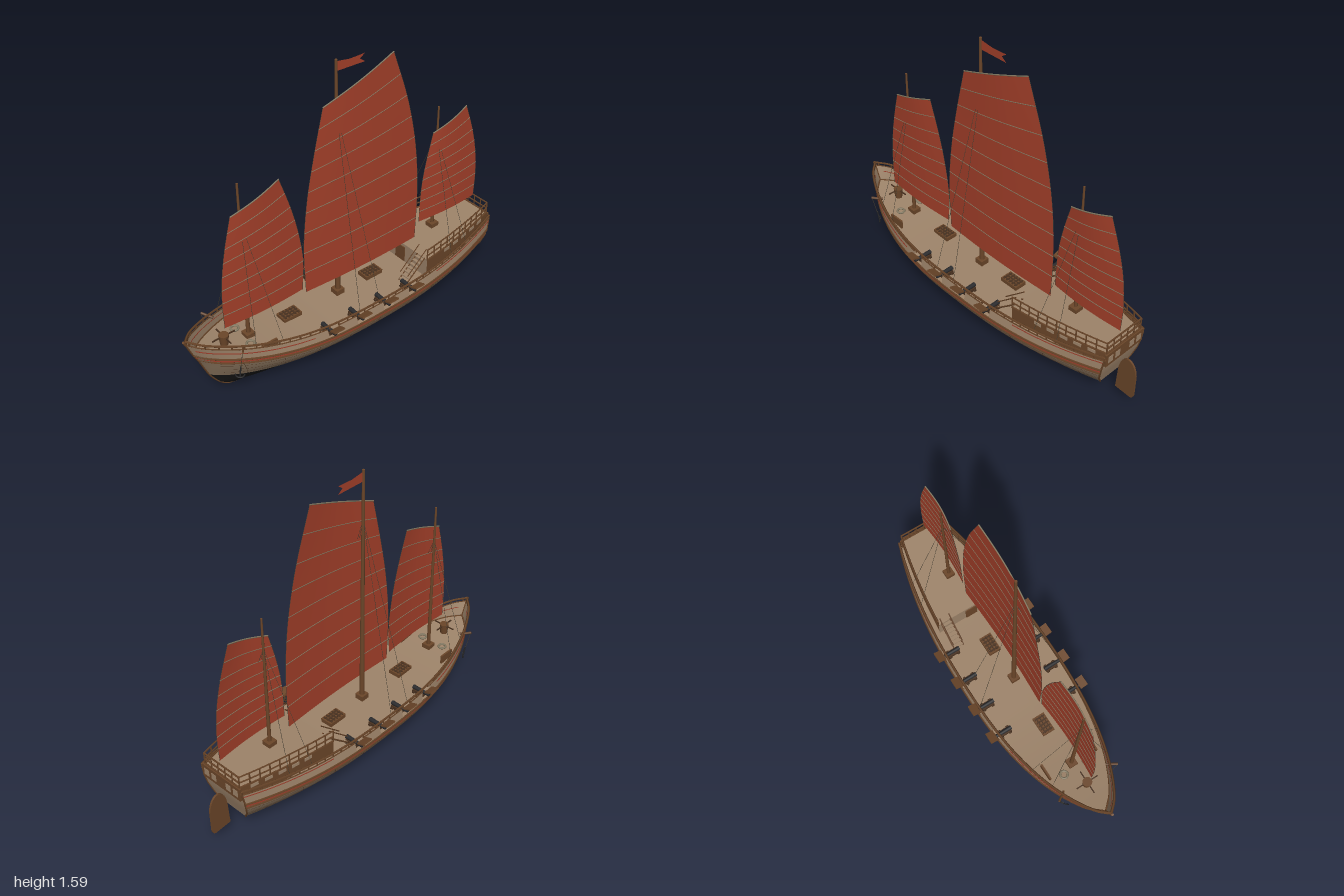
import * as THREE from 'three';

const flat = (name, color) => {
  const m = new THREE.MeshStandardMaterial({ color, side: THREE.DoubleSide });
  m.name = name;
  return m;
};
const V = (x, y, z) => new THREE.Vector3(x, y, z);
const lerp = THREE.MathUtils.lerp;

// hull levels, keel to bulwark top: height, sheer share, stern z, bow z, half width, stern width ratio
const LEVELS = [
  [0.012, 0, -0.62, 0.62, 0.004, 1],
  [0.025, 0.05, -0.72, 0.76, 0.045, 0.3],
  [0.06, 0.15, -0.80, 0.82, 0.118, 0.35],
  [0.118, 0.47, -0.86, 0.875, 0.197, 0.45],
  [0.165, 0.56, -0.875, 0.898, 0.240, 0.5],
  [0.21, 0.65, -0.89, 0.92, 0.262, 0.52],
  [0.25, 0.8, -0.90, 0.95, 0.268, 0.53],
  [0.30, 1, -0.91, 0.98, 0.258, 0.54],
];
// point on the hull skin: u from stern (-1) to bow (1), l = level
function hull(u, l, side = 1, off = 0) {
  const i = Math.min(Math.floor(l), 6);
  const [y, c, stern, bow, w, ratio] = LEVELS[i].map((a, k) => lerp(a, LEVELS[i + 1][k], l - i));
  const z = u > 0 ? u * bow : -u * stern;
  const plan = u > 0 ? Math.pow(Math.max(0, 1 - u ** 2.5), 0.75) : 1 - (1 - ratio) * (-u) ** 2.3;
  const rise = z > 0.2 ? 0.115 * ((z - 0.2) / 0.8) ** 2 : z < -0.2 ? 0.05 * ((-z - 0.2) / 0.7) ** 2 : 0;
  return V(side * (plan * w + off), y + c * rise, z);
}
const uAt = z => (z > 0 ? z / 0.98 : z / 0.91);

// grid surface from a point rule
function surface(f, nu, nv) {
  const pos = [], idx = [];
  for (let i = 0; i <= nu; i++) for (let j = 0; j <= nv; j++) pos.push(...f(i / nu, j / nv).toArray());
  for (let i = 0; i < nu; i++) for (let j = 0; j < nv; j++) {
    const a = i * (nv + 1) + j, b = a + nv + 1;
    idx.push(a, b, a + 1, b, b + 1, a + 1);
  }
  const g = new THREE.BufferGeometry();
  g.setAttribute('position', new THREE.Float32BufferAttribute(pos, 3));
  g.setIndex(idx);
  g.computeVertexNormals();
  return g;
}

export function createModel() {
  const root = new THREE.Group();
  root.name = 'sailingShip';
  const tan = flat('deckWood', 0x9e846a), plank = flat('hullPlanks', 0x8a745d), tar = flat('blackTar', 0x191919);
  const dark = flat('darkWood', 0x4a3220), brown = flat('brownWood', 0x6b4629), red = flat('redPaint', 0x983a28);
  const cloth = flat('sailCloth', 0xa5402a), rope = flat('rope', 0x4a4335), iron = flat('iron', 0x2a2a2c), spar = flat('batten', 0x877c64);

  const add = (name, geo, mat, p = [0, 0, 0], r = [0, 0, 0]) => {
    const m = new THREE.Mesh(geo, mat);
    m.name = name;
    m.position.set(...p);
    m.rotation.set(...r);
    root.add(m);
    return m;
  };
  const box = (name, w, h, d, mat, p, r) => add(name, new THREE.BoxGeometry(w, h, d), mat, p, r);
  const beam = (name, a, b, r, mat, sides = 6, r2 = r) => {
    const m = add(name, new THREE.CylinderGeometry(r2, r, a.distanceTo(b), sides), mat);
    m.position.lerpVectors(a, b, 0.5);
    m.quaternion.setFromUnitVectors(V(0, 1, 0), b.clone().sub(a).normalize());
  };
  const tube = (name, pts, r, mat, n = 40, sides = 4) =>
    add(name, new THREE.TubeGeometry(new THREE.CatmullRomCurve3(pts), n, r, sides), mat);
  const path = (n, f) => Array.from({ length: n + 1 }, (_, i) => f(i / n));
  const sides = [-1, 1];
  const ports = [-0.23, -0.052, 0.125, 0.302];

  // hull skin, strakes and seams
  const ease = a => Math.sin((a - 0.5) * Math.PI);
  for (const s of sides) {
    add('lowerHull', surface((a, b) => hull(ease(a), 3 * b, s), 60, 9), tar);
    add('planking', surface((a, b) => hull(ease(a), 3 + 3 * b, s), 60, 6), plank);
    const edges = [-0.91, ...ports.flatMap(z => [z - 0.032, z + 0.032]), 0.98];
    for (let k = 0; k < edges.length; k += 2) {
      const u0 = uAt(edges[k]), u1 = uAt(edges[k + 1]);
      add('bulwark', surface((a, b) => hull(lerp(u0, u1, a), 6 + b, s), 24, 1), tan);
      tube('bulwarkCap', path(16, a => hull(lerp(u0, u1, a), 7, s)), 0.004, brown, 24);
    }
    const strake = (name, l, r, mat, off = 0.002, u0 = -1, u1 = 1) =>
      tube(name, path(32, a => hull(lerp(u0, u1, a), l, s, off)), r, mat, 64);
    strake('lowerStrake', 5.25, 0.006, brown);
    strake('upperStrake', 5.85, 0.007, brown);
    strake('redStripe', 5.55, 0.004, red);
    strake('sternRedStripe', 6.75, 0.003, red, 0.001, -1, -0.45);
    strake('bowRedStripe', 6.55, 0.003, red, 0.001, 0.42, 0.98);
    for (const l of [3.5, 4.1, 4.7]) strake('plankSeam', l, 0.001, dark, 0);
    for (let z = -0.8; z < 0.85; z += 0.2)
      tube('plankJoint', path(8, a => hull(uAt(z), 3 + 3 * a, s)), 0.001, dark, 8);
    // raised rail on short posts
    const up = p => p.add(V(0, 0.02, 0));
    tube('topRail', path(40, a => up(hull(lerp(-1, 1, a), 7, s))), 0.007, brown, 80);
    for (let i = 0; i <= 36; i++) {
      const p = hull(lerp(-1, 0.99, i / 36), 7, s);
      beam('railPost', p.clone(), up(p.clone()), 0.005, brown, 4);
    }
    // gun ports: raised lids, barrels, carriages
    for (const z of ports) {
      box('portLid', 0.045, 0.008, 0.062, brown, [s * 0.285, 0.311, z], [0, 0, s * 0.35]);
      beam('cannonBarrel', V(s * 0.165, 0.272, z), V(s * 0.272, 0.272, z), 0.012, iron, 10, 0.009);
      box('cannonCarriage', 0.07, 0.018, 0.034, dark, [s * 0.205, 0.256, z]);
      for (const x of [0.18, 0.23]) for (const d of [-0.02, 0.02])
        add('carriageWheel', new THREE.CylinderGeometry(0.008, 0.008, 0.006, 10), dark, [s * x, 0.252, z + d], [Math.PI / 2, 0, 0]);
    }
    // stairs to the raised stern deck
    for (let i = 0; i < 7; i++) box('stairStep', 0.055, 0.006, 0.016, tan, [s * 0.16, 0.26 + i * 0.016, -0.25 - i * 0.018]);
    for (const d of [-0.028, 0.028]) {
      beam('stairSide', V(s * 0.16 + d, 0.25, -0.24), V(s * 0.16 + d, 0.365, -0.37), 0.004, brown, 4);
      beam('stairRail', V(s * 0.16 + d, 0.3, -0.25), V(s * 0.16 + d, 0.42, -0.38), 0.003, brown, 4);
    }
    // bow fittings: cathead, anchor, bitts, rope coil
    beam('cathead', V(s * 0.13, 0.36, 0.75), V(s * 0.182, 0.375, 0.785), 0.007, brown, 4);
    beam('anchorRope', V(s * 0.178, 0.372, 0.785), V(s * 0.15, 0.25, 0.785), 0.0015, rope);
    beam('anchorShank', V(s * 0.15, 0.26, 0.785), V(s * 0.138, 0.185, 0.785), 0.004, iron);
    add('anchorFlukes', new THREE.TorusGeometry(0.022, 0.004, 6, 12, Math.PI), iron, [s * 0.139, 0.205, 0.785], [0, 0.9 * s, Math.PI]);
    box('bitt', 0.01, 0.05, 0.09, brown, [s * 0.145, 0.29, 0.61]);
    add('ropeCoil', new THREE.TorusGeometry(0.02, 0.006, 6, 16), spar, [s * 0.07, 0.288, 0.67], [Math.PI / 2, 0, 0]);
  }
  add('mainDeck', surface((a, b) => hull(ease(a), 5.9).multiply(V(2 * b - 1, 1, 1)), 60, 2), tan);
  add('lowerTransom', surface((a, b) => hull(-1, 3 * a).multiply(V(2 * b - 1, 1, 1)), 6, 2), tar);
  add('transom', surface((a, b) => hull(-1, 3 + 4 * a).multiply(V(2 * b - 1, 1, 1)), 6, 2), tan);
  tube('stem', path(12, a => hull(1, 7 * a)), 0.006, brown);
  beam('stemHead', hull(1, 7), V(0, 0.43, 0.99), 0.008, brown);
  beam('keel', V(0, 0.009, -0.62), V(0, 0.009, 0.62), 0.009, tar, 8);

  // raised stern deck with cabin walls, windows and railing
  const poop = (a, s, y = 0) => {
    const z = lerp(-0.37, -0.905, a), p = hull(uAt(z), 7);
    return V(p.x * 0.85 * s, 0.362 + 0.022 * a + y, z);
  };
  add('sternDeck', surface((a, b) => poop(a, 2 * b - 1), 16, 2), tan);
  add('cabinFront', surface((a, b) => poop(0, 2 * a - 1, -0.115 * b), 2, 1), tan);
  box('cabinDoor', 0.07, 0.09, 0.008, brown, [0, 0.3, -0.368]);
  box('sternGallery', 0.262, 0.075, 0.012, brown, [0, 0.345, -0.909]);
  for (const s of sides) {
    add('cabinWall', surface((a, b) => poop(a, s, -0.08 * b), 16, 1), brown);
    tube('sternDeckTrim', path(16, a => poop(a, s)), 0.006, brown);
    for (const h of [0.03, 0.065]) tube('sternRail', path(16, a => poop(a, s, h)), 0.005, brown);
    for (let i = 0; i <= 10; i++) beam('sternRailPost', poop(i / 10, s), poop(i / 10, s, 0.065), 0.005, brown, 4);
    for (let i = 0; i < 5; i++) {
      const a = 0.3 + i * 0.14, p = poop(a, s, -0.018), q = poop(a + 0.02, s, -0.018);
      box('cabinWindow', 0.006, 0.018, 0.042, tan, p.toArray(), [0, Math.atan2(q.x - p.x, q.z - p.z), 0]);
    }
    for (const x of [0.05, 0.1]) box('sternWindow', 0.032, 0.038, 0.006, tan, [s * x, 0.345, -0.914]);
    tube('transomEdge', path(12, a => hull(-1, 3 + 4 * a, s)), 0.005, brown, 16);
  }
  for (const h of [0, 0.03, 0.065]) beam('crossRail', poop(1, -1, h), poop(1, 1, h), 0.005, brown, 4);
  for (const x of [-0.6, -0.2, 0.2, 0.6]) beam('crossRailPost', poop(1, x), poop(1, x, 0.065), 0.004, brown, 4);
  beam('transomRail', hull(-1, 7, -1), hull(-1, 7, 1), 0.007, brown, 4);

  // rudder
  const rs = new THREE.Shape();
  rs.moveTo(0.888, 0.065);
  rs.lineTo(0.98, 0.06);
  rs.quadraticCurveTo(1.0, 0.065, 1.0, 0.09);
  rs.lineTo(1.0, 0.21);
  rs.quadraticCurveTo(0.99, 0.285, 0.95, 0.29);
  rs.quadraticCurveTo(0.905, 0.285, 0.895, 0.2);
  const rudder = new THREE.ExtrudeGeometry(rs, { depth: 0.01, bevelEnabled: false });
  add('rudder', rudder, brown, [-0.005, 0, 0], [0, Math.PI / 2, 0]);

  // hatches with gratings
  for (const z of [0.38, -0.16]) {
    box('hatch', 0.07, 0.022, 0.11, brown, [-0.008, 0.258, z]);
    for (let i = 0; i < 5; i++) box('hatchBar', 0.06, 0.004, 0.008, dark, [-0.008, 0.27, z - 0.04 + i * 0.02]);
    for (let i = 0; i < 3; i++) box('hatchBar', 0.006, 0.004, 0.095, dark, [-0.026 + i * 0.018, 0.27, z]);
  }
  // capstan
  add('capstan', new THREE.CylinderGeometry(0.026, 0.02, 0.06, 12), brown, [0, 0.325, 0.775]);
  for (const r of [0, Math.PI / 2]) box('capstanBar', 0.13, 0.006, 0.006, dark, [0, 0.345, 0.775], [0, r, 0]);

  // masts with battened sails; edges run bottom to top as [z, y]
  const rigs = [
    { z: 0.07, foot: 0.24, top: 1.59, r: 0.014, tie: 1.33, n: 9,
      luff: [[0.29, 0.375], [0.296, 0.65], [0.27, 0.91], [0.222, 1.15], [0.165, 1.385]],
      leech: [[-0.45, 0.37], [-0.455, 0.66], [-0.43, 0.95], [-0.365, 1.24], [-0.26, 1.535]] },
    { z: 0.635, foot: 0.26, top: 1.165, r: 0.011, tie: 0.97, n: 8,
      luff: [[0.775, 0.41], [0.777, 0.56], [0.765, 0.71], [0.738, 0.86], [0.697, 1.02]],
      leech: [[0.312, 0.405], [0.302, 0.58], [0.325, 0.76], [0.366, 0.93], [0.425, 1.11]] },
    { z: -0.6, foot: 0.36, top: 1.115, r: 0.01, tie: 0.95, n: 8,
      luff: [[-0.477, 0.46], [-0.479, 0.59], [-0.49, 0.72], [-0.515, 0.85], [-0.55, 0.985]],
      leech: [[-0.893, 0.455], [-0.897, 0.6], [-0.882, 0.75], [-0.845, 0.9], [-0.785, 1.065]] },
  ];
  for (const g of rigs) {
    beam('mast', V(0, g.foot, g.z), V(0, g.top, g.z), g.r, brown, 10, g.r * 0.5);
    box('mastStep', 0.05, 0.03, 0.05, brown, [0, g.foot + 0.02, g.z]);
    const curve = pts => new THREE.CatmullRomCurve3(pts.map(([z, y]) => V(0, y, z)));
    const luff = curve(g.luff), leech = curve(g.leech);
    const at = (s, t) => luff.getPoint(t).lerp(leech.getPoint(t), s).add(V(0.02 + 0.012 * Math.sin(Math.PI * s), 0, 0));
    add('sail', surface(at, 16, 24), cloth);
    for (let i = 1; i <= g.n; i++)
      tube(i === g.n ? 'yard' : 'batten', path(8, s => at(s, i / g.n)), i === g.n ? 0.0035 : 0.0022, spar, 16, 5);
    for (const s of [0, 1]) tube('sailEdge', path(12, t => at(s, t)), 0.0012, rope, 24);
    for (const s of sides) for (const d of [-0.065, 0.065])
      beam('shroud', V(0, g.tie, g.z), hull(uAt(g.z + d), 7, s).add(V(0, 0.02, 0)), 0.001, rope, 4);
  }

  // swallowtail pennant
  const fs = new THREE.Shape([[-0.07, 1.53], [0.1, 1.527], [0.07, 1.55], [0.1, 1.57], [0.01, 1.568], [-0.07, 1.58]].map(p => new THREE.Vector2(...p)));
  add('pennant', new THREE.ShapeGeometry(fs), cloth, [0, 0, 0], [0, Math.PI / 2, 0]);
  return root;
}
